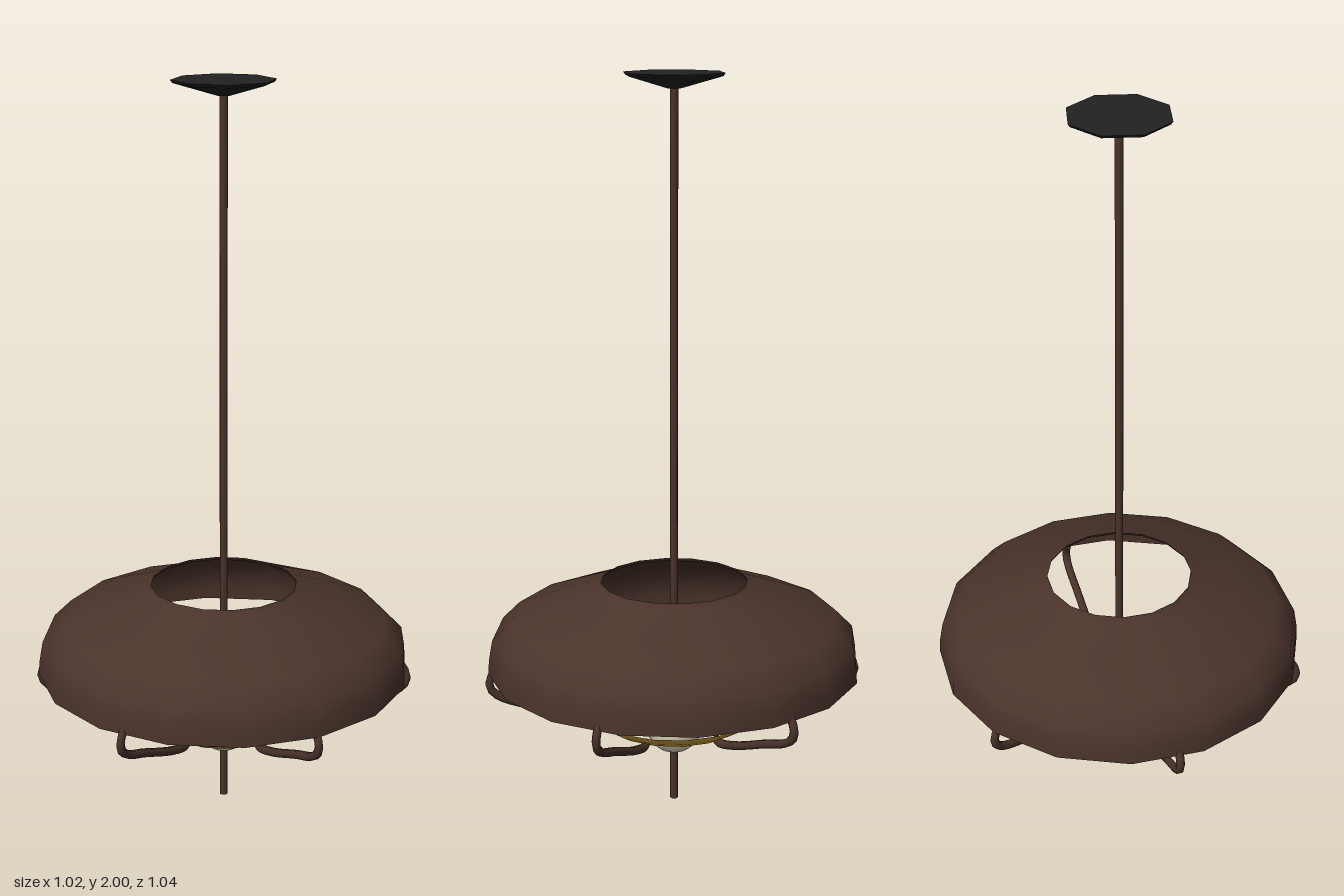
import * as THREE from 'three';

const mat = (color, side = THREE.FrontSide) => new THREE.MeshStandardMaterial({ color, side });

const brown = mat(0x4a332b, THREE.DoubleSide);
const gold = mat(0xd4a83a, THREE.DoubleSide);
const cream = mat(0xe8dfc0);
const black = mat(0x222222);

// Turned part from [radius, height] pairs, listed bottom to top
function turned(name, profile, sides, material) {
  const pts = profile.map(([r, y]) => new THREE.Vector2(r, y));
  const mesh = new THREE.Mesh(new THREE.LatheGeometry(pts, sides), material);
  mesh.name = name;
  return mesh;
}

export function createModel() {
  const lamp = new THREE.Group();
  lamp.name = 'pendantLamp';

  // Ceiling plate: shallow octagonal cone with a flat top
  const plate = turned('ceilingPlate',
    [[0, 1.96], [0.02, 1.96], [0.13, 1.992], [0.136, 2], [0.136, 2], [0, 2]], 8, black);
  plate.rotation.y = Math.PI / 8;
  lamp.add(plate);

  // Rod running the full height
  const rod = new THREE.Mesh(new THREE.CylinderGeometry(0.011, 0.011, 1.97, 8), brown);
  rod.name = 'rod';
  rod.position.y = 0.985;
  lamp.add(rod);

  // Open shade with a short lip round the top hole
  lamp.add(turned('shade',
    [[0.51, 0.392], [0.508, 0.43], [0.498, 0.487], [0.448, 0.537], [0.33, 0.583], [0.205, 0.63], [0.2, 0.64]],
    16, brown));

  // Dished ring round the bulb
  lamp.add(turned('ring', [[0.157, 0.222], [0.19, 0.232], [0.22, 0.25], [0.238, 0.27]], 16, gold));

  // Bulb: rounded capsule narrowing into the socket
  const bulb = [];
  for (let i = 0; i <= 6; i++) {
    const a = (i / 6) * Math.PI / 2;
    bulb.push([0.079 * Math.sin(a), 0.22 - 0.079 * Math.cos(a)]);
  }
  bulb.push([0.079, 0.3], [0.073, 0.335], [0.056, 0.362], [0.033, 0.378]);
  lamp.add(turned('bulb', bulb, 16, cream));

  lamp.add(turned('socket',
    [[0.034, 0.365], [0.034, 0.425], [0.026, 0.442], [0.012, 0.452], [0, 0.452]], 12, gold));

  // Six bent arms joining the ring to the shade rim
  const path = new THREE.CatmullRomCurve3(
    [[0.492, 0.4], [0.508, 0.372], [0.503, 0.345], [0.475, 0.323], [0.4, 0.296],
      [0.27, 0.247], [0.2, 0.232], [0.184, 0.24]]
      .map(([r, y]) => new THREE.Vector3(0, y, r)), false, 'centripetal');
  const armGeometry = new THREE.TubeGeometry(path, 20, 0.012, 6);
  for (let i = 0; i < 6; i++) {
    const arm = new THREE.Mesh(armGeometry, brown);
    arm.name = 'arm' + (i + 1);
    arm.rotation.y = i * Math.PI / 3;
    lamp.add(arm);
  }

  return lamp;
}
